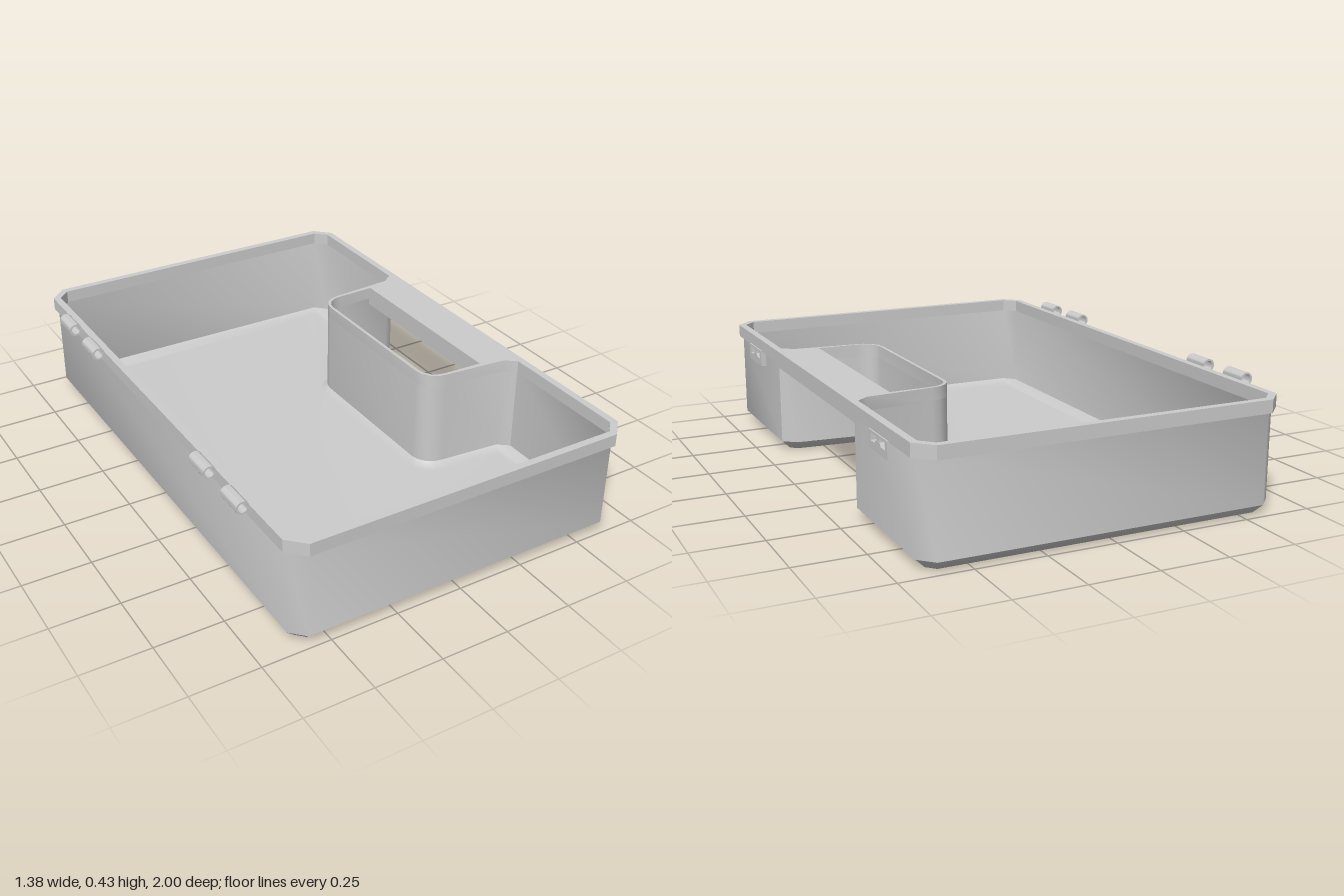
import * as THREE from 'three';
import { toCreasedNormals } from 'three/addons/utils/BufferGeometryUtils.js';

const WALL = 0.012, RIM_Y = 0.358, TOP_Y = 0.405, BEVEL = 0.035;
const grey = new THREE.MeshStandardMaterial({ color: 0xcccccc });
const vecs = (list) => list.map(([x, y]) => new THREE.Vector2(x, y));

// Complete a half outline by mirroring it across z = 0
const mirrored = (half) => vecs([...half, ...half.map(([x, y]) => [x, -y]).reverse()]);

// Plan of the handle notch, then the rest of the body (half, counter-clockwise)
const notch = [[0.297, 0.3], [0.303, 0.325], [0.318, 0.347], [0.342, 0.361], [0.37, 0.366]];
const body = mirrored([...notch, [0.615, 0.386], [0.665, 0.425],
  [0.665, 0.935], [0.615, 0.985], [-0.575, 0.985], [-0.625, 0.935]]);
const rimOutline = mirrored([[0.68, 0.94], [0.62, 1], [-0.58, 1], [-0.64, 0.94]]);
const slot = mirrored([...notch, [0.52, 0.372]]);
const gripOutline = mirrored([[0.52, 0.378], [0.615, 0.386], [0.665, 0.425]].reverse());

// Move every edge of a counter-clockwise outline inwards by d
function inset(pts, d) {
  const n = pts.length;
  const normal = (a, b) => new THREE.Vector2(a.y - b.y, b.x - a.x).normalize();
  return pts.map((p, i) => {
    const n1 = normal(pts[(i + n - 1) % n], p), n2 = normal(p, pts[(i + 1) % n]);
    const k = d / (1 + n1.dot(n2));
    return new THREE.Vector2(p.x + (n1.x + n2.x) * k, p.y + (n1.y + n2.y) * k);
  });
}

function extrude(pts, holes, depth) {
  const shape = new THREE.Shape(pts);
  shape.holes = holes.map((h) => new THREE.Path(h));
  return new THREE.ExtrudeGeometry(shape, { depth, bevelEnabled: false, curveSegments: 24 });
}

// Upright prism from a plan outline
function prism(pts, holes, y0, y1, crease) {
  const g = extrude(pts, holes, y1 - y0).rotateX(-Math.PI / 2).translate(0, y0, 0);
  return toCreasedNormals(g, crease);
}

// Smooth bevelled pan: upper ring joined to an inset lower ring that is capped
function pan(upper, yUpper, lower, yLower, faceUp) {
  const n = upper.length, pos = [], index = [];
  upper.forEach((p) => pos.push(p.x, yUpper, -p.y));
  lower.forEach((p) => pos.push(p.x, yLower, -p.y));
  const tri = (a, b, c) => (faceUp ? index.push(a, c, b) : index.push(a, b, c));
  for (let i = 0; i < n; i++) {
    const j = (i + 1) % n;
    tri(n + i, n + j, j);
    tri(n + i, j, i);
  }
  for (const [a, b, c] of THREE.ShapeUtils.triangulateShape(lower, [])) tri(n + a, n + c, n + b);
  const g = new THREE.BufferGeometry();
  g.setAttribute('position', new THREE.Float32BufferAttribute(pos, 3));
  g.setIndex(index);
  g.computeVertexNormals();
  return g;
}

export function createModel() {
  const group = new THREE.Group();
  const add = (name, geometry) => {
    const mesh = new THREE.Mesh(geometry, grey);
    mesh.name = name;
    group.add(mesh);
    return mesh;
  };

  // Shell: side walls, underside and inner floor
  const inner = inset(body, WALL);
  add('sideWalls', prism(body, [inner], BEVEL, RIM_Y, 0.9));
  add('underside', pan(body, BEVEL, inset(body, BEVEL), 0, false));
  add('innerFloor', pan(inner, BEVEL, inset(body, 0.04), WALL, true));

  // Rim with the tray opening and the hand slot; the strip between them is the handle
  add('rim', prism(rimOutline, [inner, slot], RIM_Y, TOP_Y, 0.6));
  add('handleGrip', prism(gripOutline, [], 0.33, RIM_Y, 0.3));

  for (const s of [1, -1]) {
    // Hinge knuckles
    for (const z of [0.46, 0.686]) {
      const ring = new THREE.Shape().absarc(0, 0, 0.024, 0, Math.PI * 2);
      const bore = new THREE.Path().absarc(0, 0, 0.017, 0, Math.PI * 2);
      ring.holes.push(bore);
      const g = new THREE.ExtrudeGeometry(ring, { depth: 0.106, bevelEnabled: false, curveSegments: 24 });
      add('hingeKnuckle', toCreasedNormals(g.translate(0, 0, -0.053), 0.6)).position.set(-0.666, TOP_Y, s * z);
    }

    // Latch plates with two clipped windows
    const plate = vecs([[-0.082, 0.3], [0.082, 0.3], [0.082, 0.362], [-0.082, 0.362]]);
    const windows = [1, -1].map((m) => vecs([[0.008, 0.338], [0.02, 0.338], [0.026, 0.328],
      [0.062, 0.328], [0.062, 0.354], [0.008, 0.354]].map(([x, y]) => [x * m, y])));
    const latch = extrude(plate, windows, 0.022).rotateY(Math.PI / 2);
    add('latchPlate', toCreasedNormals(latch, 0.3)).position.set(0.663, 0, s * 0.687);
  }
  return group;
}
